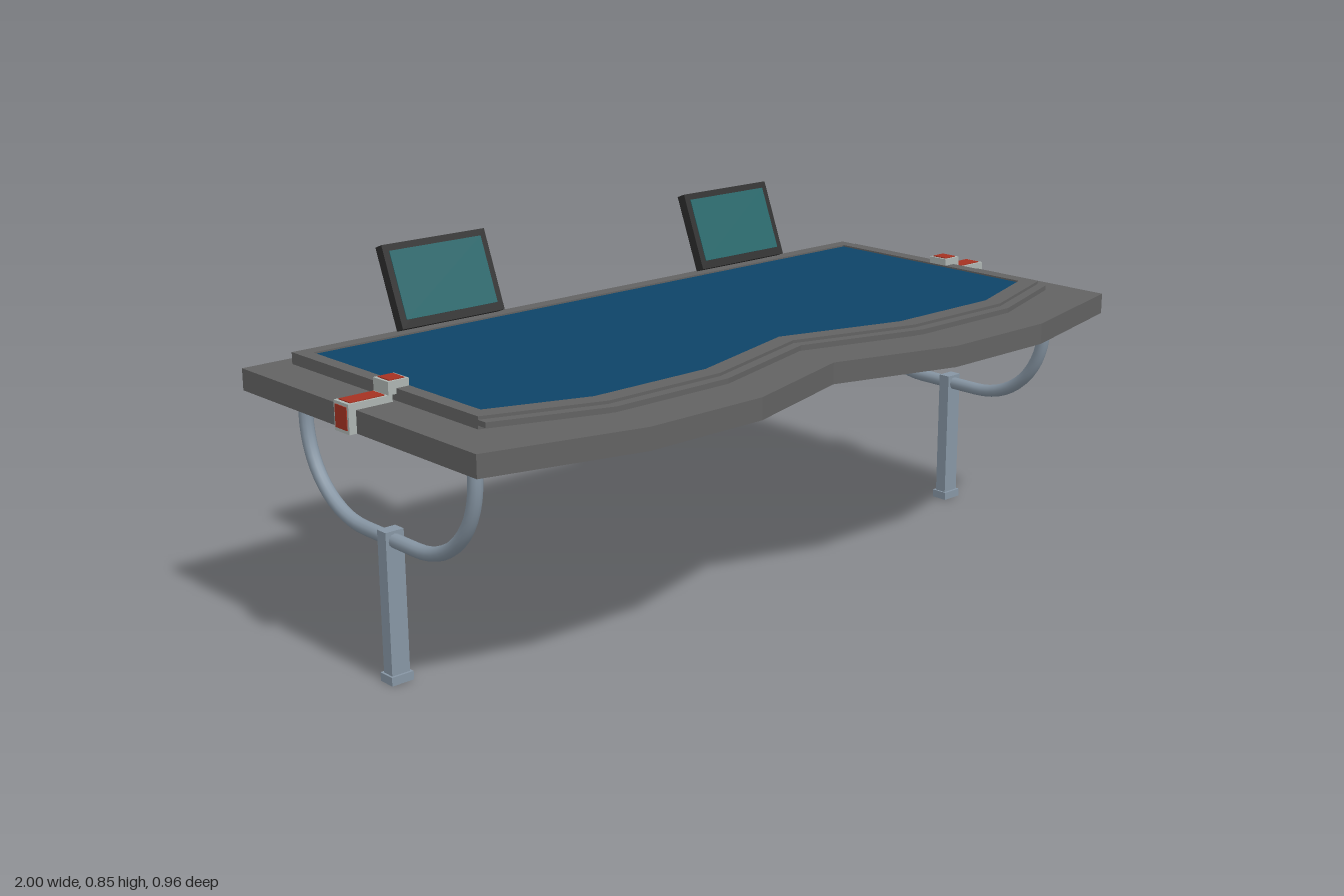
import * as THREE from 'three';

const mat = (name, color, side = THREE.FrontSide) => {
  const m = new THREE.MeshStandardMaterial({ color, side });
  m.name = name;
  return m;
};

export function createModel() {
  const root = new THREE.Group();
  root.name = 'consoleTable';
  const grey = mat('table grey', 0x626262);
  const blue = mat('surface blue', 0x0d4468);
  const dark = mat('casing charcoal', 0x2d2d2d);
  const black = mat('recess black', 0x1a1a1a);
  const teal = mat('screen teal', 0x26666a);
  const red = mat('control red', 0xa53222);
  const silver = mat('bracket silver', 0xadb5b2);
  const steel = mat('leg steel', 0x8796a4);
  const olive = mat('vent yellow', 0xb4b030);

  const add = (parent, name, geo, m, x = 0, y = 0, z = 0) => {
    const mesh = new THREE.Mesh(geo, m);
    mesh.name = name;
    mesh.position.set(x, y, z);
    parent.add(mesh);
    return mesh;
  };
  // Box given by its extents
  const box = (parent, name, m, x0, x1, y0, y1, z0, z1) =>
    add(parent, name, new THREE.BoxGeometry(x1 - x0, y1 - y0, z1 - z0), m,
      (x0 + x1) / 2, (y0 + y1) / 2, (z0 + z1) / 2);

  // Mirrored plan outline with a double-bowed front edge
  const outline = (w, back, corner, front, mid, Type = THREE.Shape) => {
    const half = [[0.31, front], [0.62, front], [w, corner], [w, back]];
    const pts = [[0, mid], ...half, ...half.slice().reverse().map(([x, z]) => [-x, z])];
    return new Type(pts.map(([x, z]) => new THREE.Vector2(x, -z)));
  };
  const slab = (name, shape, m, y0, y1) => {
    const geo = new THREE.ExtrudeGeometry(shape, { depth: y1 - y0, bevelEnabled: false });
    geo.rotateX(-Math.PI / 2);
    return add(root, name, geo, m, 0, y0, 0);
  };

  // Table top, stepped rim and work surface
  slab('tableTop', outline(0.98, -0.464, 0.387, 0.478, 0.387), grey, 0.575, 0.625);
  const inner = [0.847, -0.385, 0.225, 0.305, 0.215];
  const rim = (name, front, y0, y1) => {
    const shape = outline(0.88, -0.42, 0.285 - front, 0.375 - front, 0.285 - front);
    shape.holes.push(outline(...inner, THREE.Path));
    slab(name, shape, grey, y0, y1);
  };
  rim('rimBase', 0.025, 0.625, 0.633);
  rim('rimLip', 0, 0.633, 0.645);
  rim('rimTop', 0.025, 0.645, 0.652);
  slab('workSurface', outline(...inner), blue, 0.625, 0.648);

  // Monitors and the equipment boxes hung beneath them
  for (const s of [-1, 1]) {
    const station = new THREE.Group();
    station.name = s > 0 ? 'leftStation' : 'rightStation';
    station.position.x = s * 0.465;
    root.add(station);

    const monitor = new THREE.Group();
    monitor.name = 'monitor';
    monitor.position.set(0, 0.751, -0.431);
    monitor.rotation.x = -0.373;
    station.add(monitor);
    box(monitor, 'monitorCase', dark, -0.145, 0.145, -0.099, 0.099, -0.013, 0.013);
    box(monitor, 'screen', teal, -0.129, 0.129, -0.079, 0.083, 0.012, 0.015);

    const profile = new THREE.Shape([[0.42, 0.625], [0.46, 0.625], [0.46, 0.7],
      [0.437, 0.735], [0.42, 0.715]].map(([z, y]) => new THREE.Vector2(z, y)));
    const stand = new THREE.ExtrudeGeometry(profile, { depth: 0.08, bevelEnabled: false });
    stand.rotateY(Math.PI / 2);
    add(station, 'monitorStand', stand.translate(-0.04, 0, 0), dark);

    box(station, 'upperHousing', dark, -0.155, 0.155, 0.527, 0.575, -0.402, -0.13);
    box(station, 'lowerHousing', dark, -0.13, 0.13, 0.485, 0.527, -0.375, -0.157);
    // Border around the recessed underside
    box(station, 'borderFront', dark, -0.13, 0.13, 0.477, 0.485, -0.185, -0.157);
    box(station, 'borderBack', dark, -0.13, 0.13, 0.477, 0.485, -0.375, -0.347);
    for (const e of [-1, 1])
      box(station, 'borderSide', dark, e * 0.115 - 0.015, e * 0.115 + 0.015, 0.477, 0.485, -0.347, -0.185);
    box(station, 'recessPanel', black, -0.1, 0.1, 0.483, 0.486, -0.347, -0.185);
    box(station, 'innerPanel', dark, -0.08, 0.08, 0.481, 0.484, -0.332, -0.2);
    // Three vent blades
    for (let i = 0; i < 3; i++) {
      const blade = new THREE.CylinderGeometry(0.05, 0.05, 0.003, 6, 1, false, i * Math.PI * 2 / 3, Math.PI / 3);
      add(station, 'ventBlade', blade, olive, 0, 0.48, -0.266);
    }
  }

  // Stepped control brackets clamped on each end
  for (const s of [-1, 1]) {
    const bracket = new THREE.Group();
    bracket.name = s > 0 ? 'leftBracket' : 'rightBracket';
    root.add(bracket);
    const part = (name, m, x0, x1, y0, y1, z0, z1) =>
      box(bracket, name, m, Math.min(s * x0, s * x1), Math.max(s * x0, s * x1), y0, y1, z0, z1);
    part('bracketSide', silver, 0.98, 0.998, 0.575, 0.64, -0.073, -0.019);
    part('bracketTop', silver, 0.89, 0.98, 0.622, 0.64, -0.073, -0.019);
    part('bracketRiser', silver, 0.848, 0.9, 0.64, 0.669, -0.073, -0.019);
    part('sideControl', red, 0.996, 1, 0.583, 0.633, -0.067, -0.025);
    part('topControl', red, 0.905, 0.99, 0.638, 0.642, -0.067, -0.025);
    part('riserControl', red, 0.855, 0.893, 0.667, 0.671, -0.067, -0.025);
  }

  // Curved cradle tubes, posts and feet
  const v = (z, y) => new THREE.Vector3(0, y, z);
  const path = new THREE.CurvePath();
  path.add(new THREE.LineCurve3(v(0.272, 0.577), v(0.272, 0.53)));
  path.add(new THREE.CubicBezierCurve3(v(0.272, 0.53), v(0.272, 0.41), v(0.18, 0.323), v(0.06, 0.323)));
  path.add(new THREE.LineCurve3(v(0.06, 0.323), v(-0.13, 0.323)));
  path.add(new THREE.CubicBezierCurve3(v(-0.13, 0.323), v(-0.25, 0.323), v(-0.343, 0.41), v(-0.343, 0.53)));
  path.add(new THREE.LineCurve3(v(-0.343, 0.53), v(-0.343, 0.577)));
  for (const s of [-1, 1]) {
    const leg = new THREE.Group();
    leg.name = s > 0 ? 'leftLeg' : 'rightLeg';
    leg.position.x = s * 0.9;
    root.add(leg);
    add(leg, 'cradleTube', new THREE.TubeGeometry(path, 40, 0.016, 12, false), steel);
    box(leg, 'post', steel, -0.023, 0.023, 0.02, 0.345, -0.051, -0.02);
    box(leg, 'foot', steel, -0.028, 0.028, 0, 0.02, -0.057, -0.014);
  }
  return root;
}
